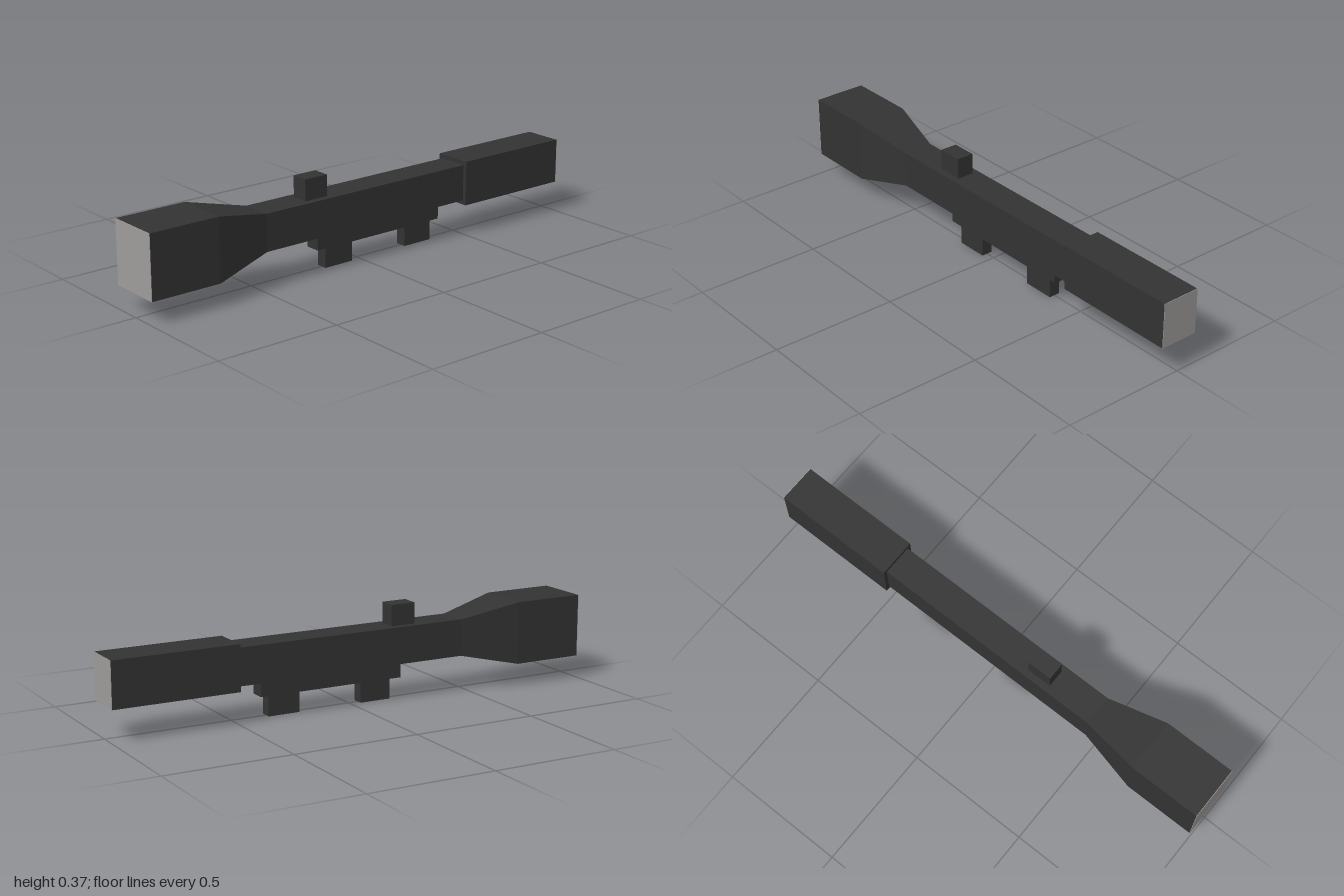
import * as THREE from 'three';

const CENTRE_Y = 0.215; // height of the optical axis

// Rectangular tube lofted through sections [z, halfWidth, halfHeight], front to back
function loftTube(sections) {
  const ring = ([z, w, h]) => [[-w, -h, z], [w, -h, z], [w, h, z], [-w, h, z]];
  const positions = [];
  for (let s = 0; s < sections.length - 1; s++) {
    const front = ring(sections[s]);
    const back = ring(sections[s + 1]);
    for (let i = 0; i < 4; i++) {
      const j = (i + 1) % 4;
      positions.push(...front[i], ...back[i], ...back[j], ...front[i], ...back[j], ...front[j]);
    }
  }
  const geometry = new THREE.BufferGeometry();
  geometry.setAttribute('position', new THREE.Float32BufferAttribute(positions, 3));
  geometry.computeVertexNormals();
  return geometry;
}

export function createModel() {
  const model = new THREE.Group();
  model.name = 'scope';

  const black = new THREE.MeshStandardMaterial({ name: 'matte black', color: 0x333333 });
  const glass = new THREE.MeshStandardMaterial({ name: 'grey glass', color: 0x9e9c9a });

  // Box centred on x, given its width and its y and z ranges
  const addBox = (name, material, width, y0, y1, z0, z1) => {
    const mesh = new THREE.Mesh(new THREE.BoxGeometry(width, y1 - y0, z1 - z0), material);
    mesh.position.set(0, (y0 + y1) / 2, (z0 + z1) / 2);
    mesh.name = name;
    model.add(mesh);
  };

  // Main tube flaring into the front bell
  const body = new THREE.Mesh(loftTube([
    [0.998, 0.108, 0.125],
    [0.71, 0.108, 0.125],
    [0.47, 0.062, 0.073],
    [-0.51, 0.062, 0.073],
  ]), black);
  body.position.y = CENTRE_Y;
  body.name = 'bodyTube';
  model.add(body);

  // Eyepiece and the two lenses
  addBox('eyepiece', black, 0.156, 0.125, 0.305, -0.998, -0.495);
  addBox('frontLens', glass, 0.216, 0.09, 0.34, 0.998, 1);
  addBox('rearLens', glass, 0.156, 0.125, 0.305, -1, -0.998);

  // Adjustment knob on top
  addBox('adjustmentKnob', black, 0.07, 0.28, 0.372, 0.17, 0.272);

  // Mounting rail with two feet underneath
  addBox('mountingRail', black, 0.063, 0.081, 0.145, -0.39, 0.213);
  addBox('frontFoot', black, 0.046, 0, 0.085, 0.04, 0.17);
  addBox('rearFoot', black, 0.046, 0, 0.085, -0.355, -0.225);

  return model;
}
